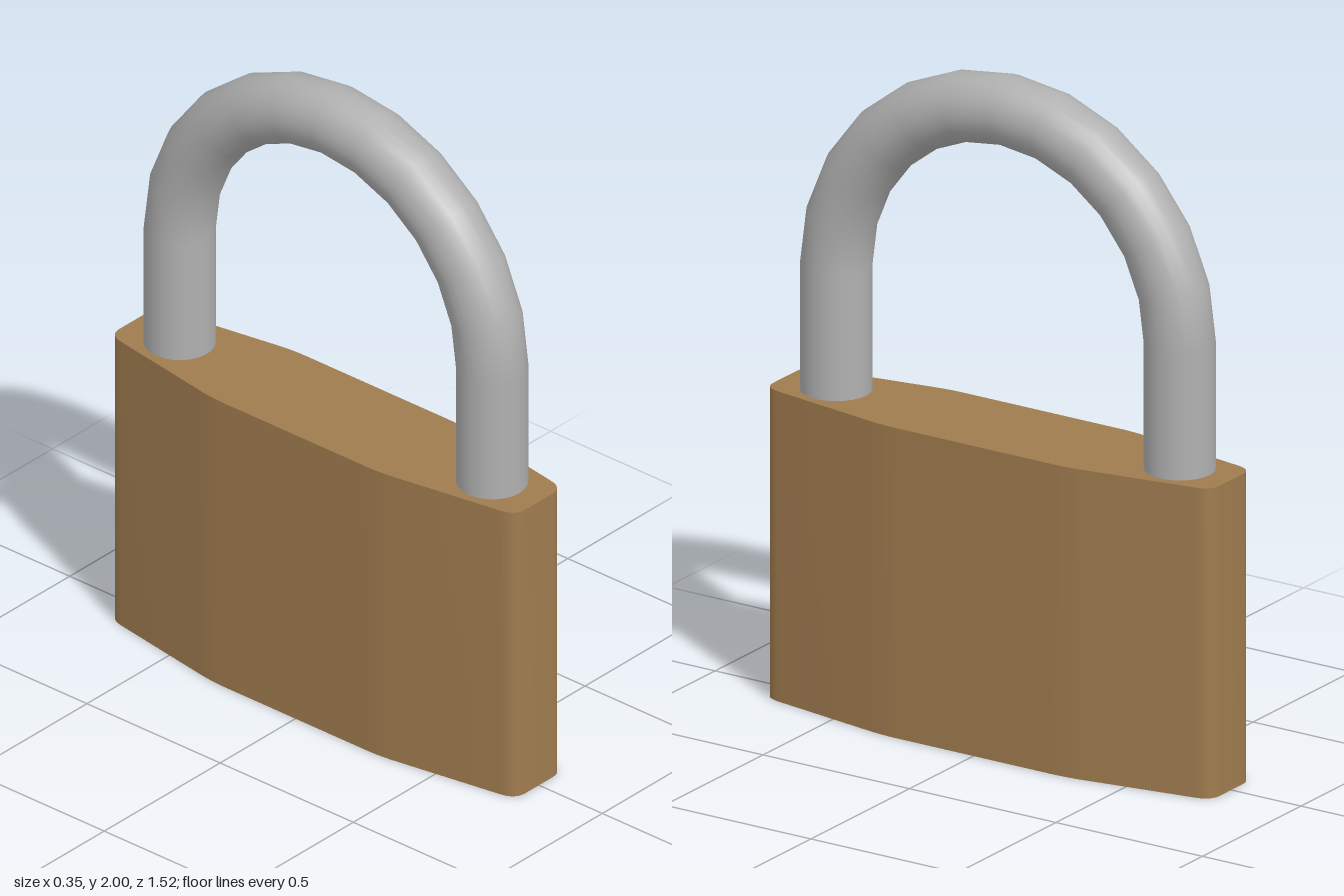
import * as THREE from 'three';
import { toCreasedNormals } from 'three/addons/utils/BufferGeometryUtils.js';

export function createModel() {
  const group = new THREE.Group();
  const brass = new THREE.MeshStandardMaterial({ color: 0xa07c4f });
  brass.name = 'brass';
  const steel = new THREE.MeshStandardMaterial({ color: 0xb0b0b0 });
  steel.name = 'steel';

  const add = (name, geometry, material) => {
    const mesh = new THREE.Mesh(geometry, material);
    mesh.name = name;
    group.add(mesh);
    return mesh;
  };

  // Body: tapered plan with rounded corners, extruded upwards
  const bodyHeight = 0.935;
  const plan = new THREE.Shape();
  plan.moveTo(0.175, -0.27);
  plan.lineTo(0.175, 0.27);
  plan.quadraticCurveTo(0.174, 0.325, 0.165, 0.375);
  plan.lineTo(0.11, 0.71);
  plan.quadraticCurveTo(0.102, 0.762, 0.06, 0.762);
  plan.lineTo(-0.06, 0.762);
  plan.quadraticCurveTo(-0.102, 0.762, -0.11, 0.71);
  plan.lineTo(-0.165, 0.375);
  plan.quadraticCurveTo(-0.174, 0.325, -0.175, 0.27);
  plan.lineTo(-0.175, -0.27);
  plan.quadraticCurveTo(-0.174, -0.325, -0.165, -0.375);
  plan.lineTo(-0.11, -0.71);
  plan.quadraticCurveTo(-0.102, -0.762, -0.06, -0.762);
  plan.lineTo(0.06, -0.762);
  plan.quadraticCurveTo(0.102, -0.762, 0.11, -0.71);
  plan.lineTo(0.165, -0.375);
  plan.quadraticCurveTo(0.174, -0.325, 0.175, -0.27);
  const body = new THREE.ExtrudeGeometry(plan, {
    depth: bodyHeight, bevelEnabled: false, curveSegments: 6,
  });
  body.rotateX(-Math.PI / 2);
  add('body', toCreasedNormals(body, 0.6), brass);

  // Shackle: half-ring on two straight legs
  const tube = 0.103, ring = 0.587, springY = 1.31;
  const arch = new THREE.TorusGeometry(ring, tube, 24, 12, Math.PI);
  arch.rotateY(Math.PI / 2);
  add('shackleArch', arch, steel).position.y = springY;

  const legBottom = bodyHeight - 0.03;
  const legLength = springY - legBottom;
  for (const [name, side] of [['frontLeg', 1], ['backLeg', -1]]) {
    const leg = new THREE.CylinderGeometry(tube, tube, legLength, 24, 1, true);
    add(name, leg, steel).position.set(0, legBottom + legLength / 2, side * ring);
  }

  return group;
}
